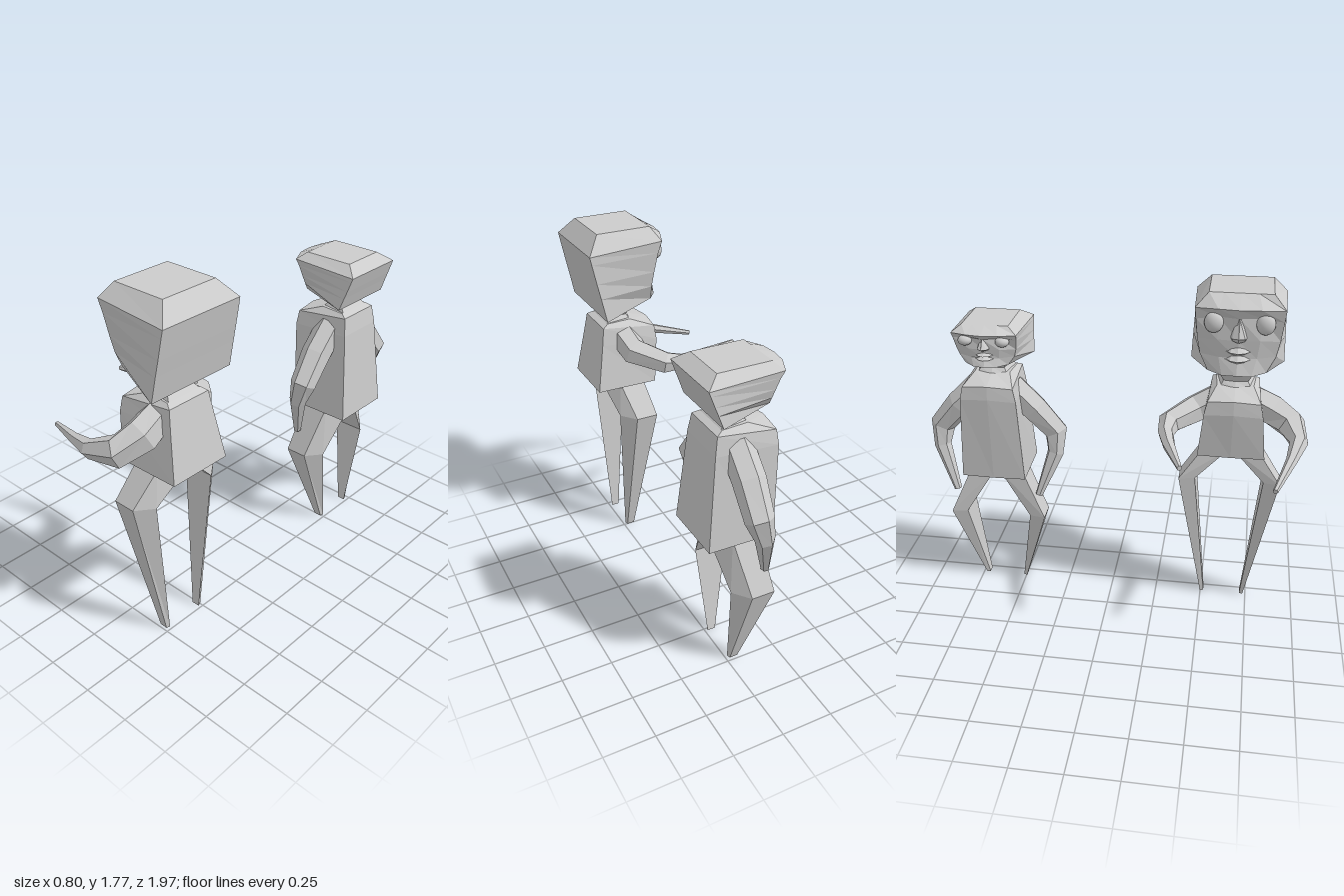
import * as THREE from 'three';

const mat = new THREE.MeshStandardMaterial({ color: 0xcccccc, flatShading: true });
const smooth = new THREE.MeshStandardMaterial({ color: 0xcccccc });

// Skins a list of equal-length rings of [x, y, z] points and caps both ends
function loft(name, rings) {
  const tris = [];
  const n = rings[0].length;
  for (let i = 0; i < rings.length - 1; i++) {
    for (let j = 0; j < n; j++) {
      const k = (j + 1) % n;
      const [a, b, c, d] = [rings[i][j], rings[i][k], rings[i + 1][k], rings[i + 1][j]];
      tris.push([a, b, c], [a, c, d]);
    }
  }
  const end = rings[rings.length - 1];
  for (let j = 1; j < n - 1; j++) {
    tris.push([rings[0][0], rings[0][j + 1], rings[0][j]], [end[0], end[j], end[j + 1]]);
  }
  // Turn the skin outward if its enclosed volume comes out negative
  const volume = tris.reduce((s, [a, b, c]) => s
    + a[0] * (b[1] * c[2] - b[2] * c[1])
    - a[1] * (b[0] * c[2] - b[2] * c[0])
    + a[2] * (b[0] * c[1] - b[1] * c[0]), 0);
  if (volume < 0) tris.forEach((t) => t.reverse());
  const geo = new THREE.BufferGeometry();
  geo.setAttribute('position', new THREE.Float32BufferAttribute(tris.flat(2), 3));
  geo.computeVertexNormals();
  const mesh = new THREE.Mesh(geo, mat);
  mesh.name = name;
  return mesh;
}

// Completes a half ring running from front to back with its mirror image
function mirrorRing(half) {
  const other = half.filter((p) => p[2] > 0).reverse().map(([x, y, z]) => [x, y, -z]);
  return [...half, ...other];
}

// Six-sided limb along a path of [x, y, z, radius]
function limb(name, path) {
  const pts = path.map((p) => new THREE.Vector3(p[0], p[1], p[2]));
  const side = new THREE.Vector3();
  const rings = pts.map((p, i) => {
    const t = pts[Math.min(i + 1, pts.length - 1)].clone().sub(pts[Math.max(i - 1, 0)]).normalize();
    if (i === 0) side.crossVectors(t, new THREE.Vector3(0.3, 1, 0));
    side.addScaledVector(t, -side.dot(t)).normalize();
    const up = new THREE.Vector3().crossVectors(side, t);
    return Array.from({ length: 6 }, (_, j) => {
      const a = (j / 6) * Math.PI * 2;
      return p.clone().addScaledVector(side, Math.cos(a) * path[i][3])
        .addScaledVector(up, Math.sin(a) * path[i][3]).toArray();
    });
  });
  return loft(name, rings);
}

// Head with face, in the proportions of the taller figure
function makeHead() {
  const head = new THREE.Group();
  head.name = 'head';
  head.add(loft('skull', [
    [[0.05, 1.775, 0], [0.05, 1.775, 0.08], [0.05, 1.775, 0.15], [0.33, 1.775, 0.15]],
    [[-0.04, 1.72, 0], [-0.03, 1.72, 0.1], [0.01, 1.71, 0.21], [0.4, 1.69, 0.222]],
    [[-0.01, 1.67, 0], [0.015, 1.67, 0.1], [0.03, 1.65, 0.205], [0.392, 1.65, 0.224]],
    [[0.0, 1.56, 0], [0.01, 1.56, 0.1], [0.05, 1.55, 0.195], [0.372, 1.55, 0.227]],
    [[0.005, 1.47, 0], [0.02, 1.47, 0.09], [0.06, 1.47, 0.18], [0.355, 1.47, 0.23]],
    [[-0.015, 1.39, 0], [0.0, 1.385, 0.07], [0.05, 1.39, 0.14], [0.33, 1.345, 0.234]],
    [[0.1, 1.385, 0], [0.11, 1.38, 0.06], [0.13, 1.375, 0.1], [0.27, 1.36, 0.11]],
  ].map(mirrorRing)));
  // Nose and lips: wedges that widen downward, then tuck under
  head.add(loft('nose', [
    [[-0.02, 1.67, 0], [0.02, 1.67, 0.015], [0.03, 1.67, 0.02]],
    [[-0.05, 1.585, 0], [-0.03, 1.58, 0.03], [0.03, 1.575, 0.045]],
    [[-0.02, 1.555, 0], [0, 1.56, 0.03], [0.03, 1.56, 0.04]],
  ].map(mirrorRing)));
  for (const [name, y] of [['upperLip', 1.505], ['lowerLip', 1.465]]) {
    head.add(loft(name, [
      [[0, y + 0.022, 0], [0.01, y + 0.018, 0.03], [0.04, y, 0.07]],
      [[-0.028, y, 0], [-0.015, y, 0.035], [0.03, y, 0.075]],
      [[0, y - 0.018, 0], [0.01, y - 0.015, 0.03], [0.04, y, 0.07]],
    ].map(mirrorRing)));
  }
  for (const s of [-1, 1]) {
    const eye = new THREE.Mesh(new THREE.SphereGeometry(0.05, 16, 12), smooth);
    eye.name = 'eye';
    eye.scale.set(0.65, 1, 0.9);
    eye.position.set(0.01, 1.643, s * 0.12);
    head.add(eye);
  }
  return head;
}

// One standing figure facing -x; hip and knee are heights
function makeFigure(name, hip, knee, arms) {
  const fig = new THREE.Group();
  fig.name = name;
  fig.add(loft('neck', [
    [[0.11, 1.385, 0], [0.13, 1.38, 0.09], [0.27, 1.37, 0.11]],
    [[0.125, 1.335, 0], [0.14, 1.335, 0.08], [0.265, 1.33, 0.105]],
    [[0.15, 1.295, 0], [0.16, 1.295, 0.06], [0.26, 1.295, 0.078]],
    [[0.12, 1.26, 0], [0.14, 1.26, 0.08], [0.29, 1.265, 0.1]],
  ].map(mirrorRing)));
  fig.add(loft('torso', [
    [[0.15, 1.277, 0], [0.15, 1.275, 0.09], [0.28, 1.275, 0.1]],
    [[0.02, 1.24, 0], [0.03, 1.23, 0.13], [0.31, 1.26, 0.118]],
    [[0.015, 1.17, 0], [0.025, 1.16, 0.145], [0.325, 1.17, 0.13]],
    [[0.045, hip, 0], [0.05, hip, 0.168], [0.37, hip, 0.163]],
  ].map(mirrorRing)));
  // Legs splay to the knees, then taper inward to the feet
  for (const s of [-1, 1]) {
    fig.add(loft('leg', [
      [[0.12, hip + 0.01, 0.01], [0.11, hip + 0.01, 0.14], [0.24, hip + 0.01, 0.14], [0.31, hip + 0.01, 0.01]],
      [[0.1, knee, 0.175], [0.085, knee, 0.258], [0.2, knee, 0.258], [0.265, knee, 0.175]],
      [[0.195, 0, 0.1], [0.19, 0, 0.118], [0.23, 0, 0.118], [0.236, 0, 0.1]],
    ].map((ring) => ring.map(([x, y, z]) => [x, y, z * s]))));
  }
  arms.forEach((path) => fig.add(limb('arm', path)));
  return fig;
}

export function createModel() {
  const model = new THREE.Group();
  model.name = 'twoFigures';

  // Figure with a tall head and arms reaching forward
  const tall = makeFigure('reachingFigure', 0.925, 0.765, [
    [[0.21, 1.19, 0.08, 0.075], [0.21, 1.13, 0.19, 0.085], [0.16, 1.075, 0.29, 0.075],
      [0.02, 1.045, 0.325, 0.045], [-0.12, 1.02, 0.29, 0.028], [-0.35, 0.972, 0.215, 0.013]],
    [[0.19, 1.19, -0.08, 0.075], [0.17, 1.13, -0.19, 0.075], [0.05, 1.095, -0.315, 0.06],
      [-0.05, 1.085, -0.32, 0.04], [-0.17, 1.085, -0.295, 0.032], [-0.395, 1.083, -0.225, 0.013]],
  ]);
  tall.add(makeHead());
  tall.position.z = 0.617;

  // Figure with a shallow head, long torso and hanging arms
  const hanging = [[0.2, 1.18, 0.08, 0.075], [0.2, 1.06, 0.2, 0.075], [0.21, 0.93, 0.31, 0.066],
    [0.18, 0.82, 0.31, 0.045], [0.12, 0.585, 0.225, 0.02]];
  const long = makeFigure('hangingFigure', 0.71, 0.46,
    [1, -1].map((s) => hanging.map(([x, y, z, r]) => [x, y, z * s, r])));
  const head = makeHead();
  head.scale.set(0.92, 0.52, 0.78);
  head.position.set(0.012, 1.33 - 1.345 * 0.52, 0);
  long.add(head);
  long.position.z = -0.615;

  model.add(tall, long);
  return model;
}
